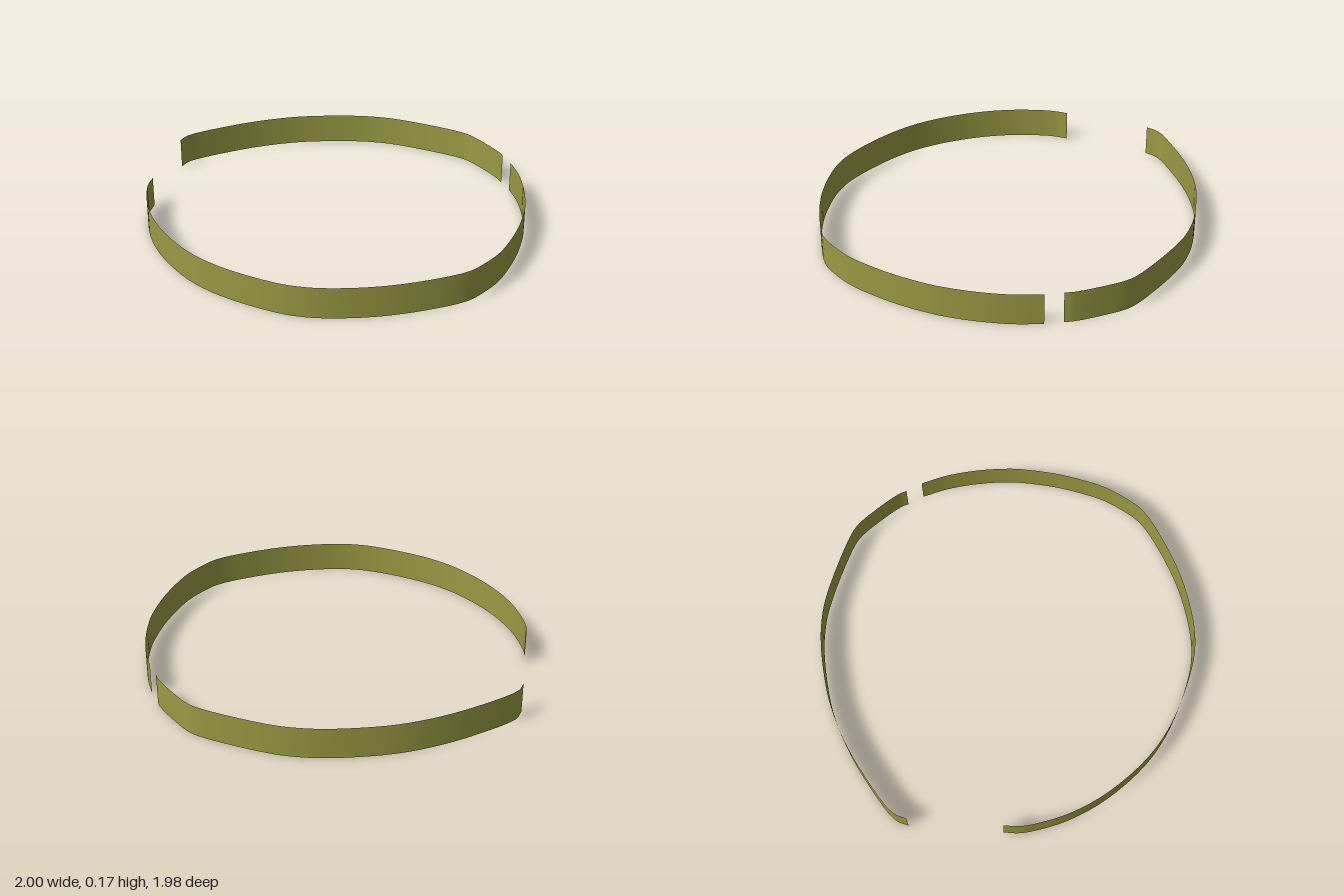
import * as THREE from 'three';

const HEIGHT = 0.166;

// Plan outlines as [x, z], each running from one open end to the other
const backOutline = [
  [-0.99, -0.46], [-0.965, -0.53], [-0.8, -0.675], [-0.6, -0.81], [-0.4, -0.905],
  [-0.2, -0.96], [-0.05, -0.985], [0.05, -0.99], [0.16, -0.983], [0.37, -0.936],
  [0.57, -0.872], [0.62, -0.842], [0.68, -0.787], [0.81, -0.64], [0.83, -0.6],
];
const frontOutline = [
  [0.88, -0.52], [0.935, -0.385], [0.975, -0.22], [0.995, -0.05], [0.995, 0.03],
  [0.98, 0.2], [0.95, 0.35], [0.91, 0.485], [0.85, 0.6], [0.78, 0.695],
  [0.6, 0.813], [0.4, 0.907], [0.2, 0.965], [0.05, 0.985], [-0.1, 0.972],
  [-0.4, 0.875], [-0.6, 0.755], [-0.8, 0.552], [-0.92, 0.36], [-0.98, 0.2],
  [-1, 0.11], [-1, 0.03],
];

// Upright paper-thin band following a plan outline
function band(name, outline, material) {
  const curve = new THREE.CatmullRomCurve3(
    outline.map(([x, z]) => new THREE.Vector3(x, 0, z)), false, 'centripetal');
  const steps = (outline.length - 1) * 4;
  const positions = [], index = [];
  for (let i = 0; i <= steps; i++) {
    const p = curve.getPoint(i / steps);
    positions.push(p.x, 0, p.z, p.x, HEIGHT, p.z);
    if (i < steps) {
      const a = i * 2;
      index.push(a, a + 1, a + 2, a + 2, a + 1, a + 3);
    }
  }
  const geometry = new THREE.BufferGeometry();
  geometry.setAttribute('position', new THREE.Float32BufferAttribute(positions, 3));
  geometry.setIndex(index);
  geometry.computeVertexNormals();
  const mesh = new THREE.Mesh(geometry, material);
  mesh.name = name;
  return mesh;
}

export function createModel() {
  const group = new THREE.Group();
  group.name = 'openRing';
  const olive = new THREE.MeshStandardMaterial({ color: 0x999944, side: THREE.DoubleSide });
  group.add(band('backBand', backOutline, olive));
  // The front band runs the other way round, so its order is reversed to face outward alike
  group.add(band('frontBand', frontOutline, olive));
  return group;
}
